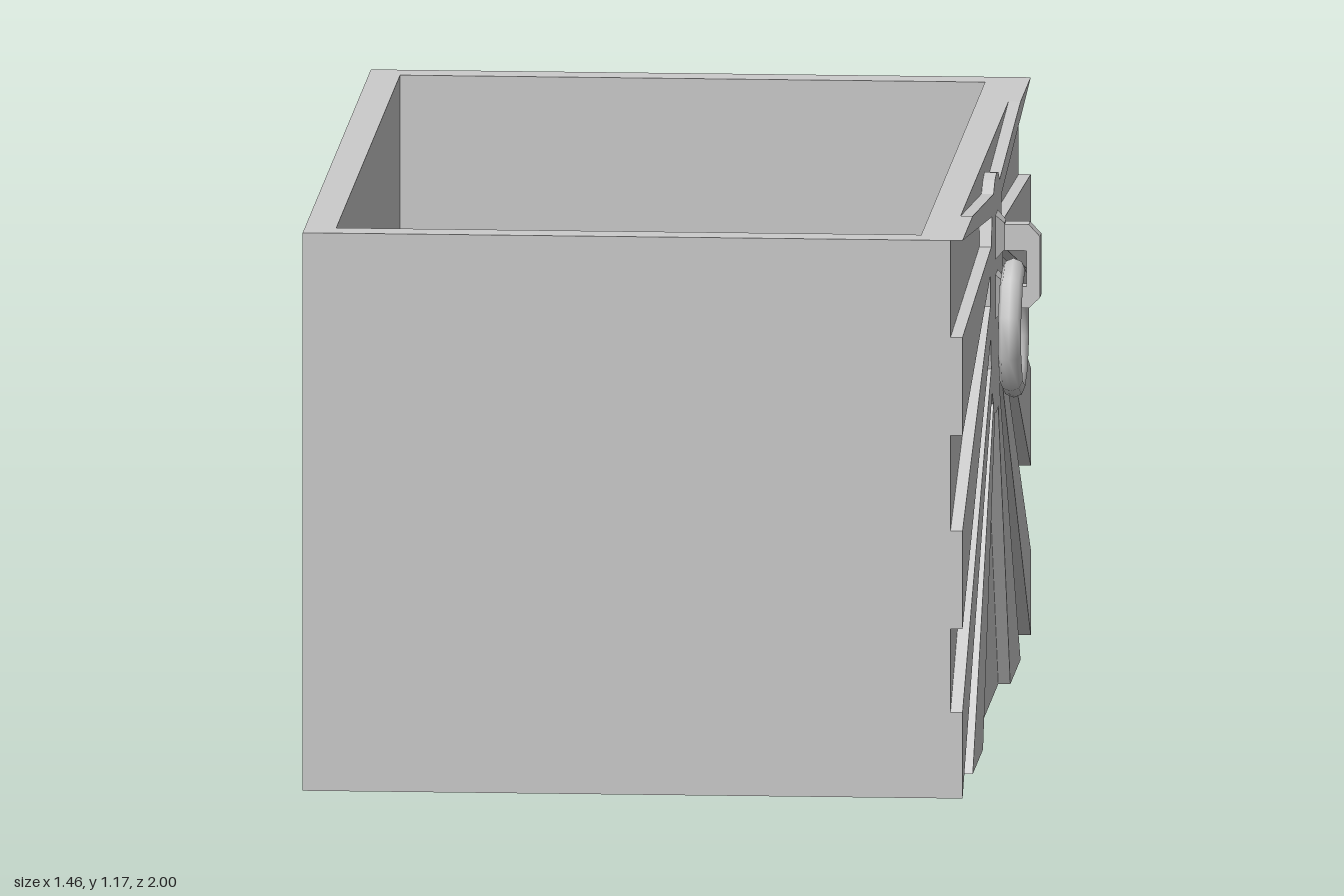
import * as THREE from 'three';

const material = new THREE.MeshStandardMaterial({ color: 0xcccccc });
const flat = new THREE.MeshStandardMaterial({ color: 0xcccccc, flatShading: true });

function addMesh(parent, name, geometry, mat = flat) {
  const mesh = new THREE.Mesh(geometry, mat);
  mesh.name = name;
  parent.add(mesh);
  return mesh;
}

// Skin joining rectangular loops given as [half width, half depth, height]
function rectLoft(loops) {
  const signs = [[1, 1], [1, -1], [-1, -1], [-1, 1]];
  const corner = ([hx, hz, y], k) => [signs[k % 4][0] * hx, y, signs[k % 4][1] * hz];
  const positions = [];
  for (let i = 0; i < loops.length - 1; i++) {
    for (let k = 0; k < 4; k++) {
      const a = corner(loops[i], k), b = corner(loops[i], k + 1);
      const c = corner(loops[i + 1], k + 1), d = corner(loops[i + 1], k);
      positions.push(...a, ...b, ...c, ...a, ...c, ...d);
    }
  }
  const geometry = new THREE.BufferGeometry();
  geometry.setAttribute('position', new THREE.Float32BufferAttribute(positions, 3));
  geometry.computeVertexNormals();
  return geometry;
}

const toShape = (points) => new THREE.Shape(points.map(([x, y]) => new THREE.Vector2(x, y)));

export function createModel() {
  const model = new THREE.Group();
  model.name = 'drawer';

  // Open box with a raised floor and a shallow recess underneath
  const box = addMesh(model, 'drawerBox', rectLoft([
    [0, 0, 0.16], [0.54, 0.86, 0.16], [0.54, 0.86, 0], [0.67, 1, 0],
    [0.67, 1, 1.168], [0.605, 0.935, 1.168], [0.605, 0.935, 0.63], [0, 0, 0.63],
  ]));
  box.position.x = -0.06;

  // Raised sunburst: hub with rays reaching the panel edges, one half mirrored
  const half = [
    [0.05, 1.132], [0.09, 1.11], [0.7, 1.168], [1, 1.168],
    [0.135, 1.07], [0.155, 1.01], [1, 0.965], [1, 0.76],
    [0.18, 0.955], [0.18, 0.89], [1, 0.56], [1, 0.355],
    [0.17, 0.82], [0.155, 0.755], [1, 0.18], [1, 0],
    [0.13, 0.70], [0.09, 0.67], [0.7, 0], [0.4, 0], [0.045, 0.645],
  ];
  const mirrored = half.map(([z, y]) => [-z, y]).reverse();
  const sunburst = addMesh(model, 'sunburstPanel', new THREE.ExtrudeGeometry(
    toShape([[0, 1.14], ...half, [0, 0.637], ...mirrored]),
    { depth: 0.025, bevelEnabled: false }));
  sunburst.rotation.y = Math.PI / 2;
  sunburst.position.x = 0.61;

  const handle = new THREE.Group();
  handle.name = 'handle';
  model.add(handle);

  // Tapered mounts of the staple
  for (const [name, y] of [['upperMount', 1.01], ['lowerMount', 0.885]]) {
    const mount = addMesh(handle, name, rectLoft([
      [0, 0, 0], [0.048, 0.036, 0], [0.028, 0.022, 0.02], [0, 0, 0.02],
    ]));
    mount.rotation.z = -Math.PI / 2;
    mount.position.set(0.633, y, 0);
  }

  // C-shaped staple that holds the ring
  const staple = addMesh(handle, 'staple', new THREE.ExtrudeGeometry(toShape([
    [0.645, 1.035], [0.703, 1.035], [0.726, 1.01], [0.726, 0.882], [0.703, 0.86],
    [0.645, 0.86], [0.645, 0.905], [0.698, 0.905], [0.698, 0.98], [0.645, 0.98],
  ]), { depth: 0.04, bevelEnabled: false }));
  staple.position.z = -0.02;

  // Hanging ring
  const ring = addMesh(handle, 'ring', new THREE.TorusGeometry(0.122, 0.024, 8, 10), material);
  ring.geometry.rotateZ(Math.PI / 2);
  ring.rotation.y = Math.PI / 2;
  ring.position.set(0.67, 0.815, 0);

  return model;
}
